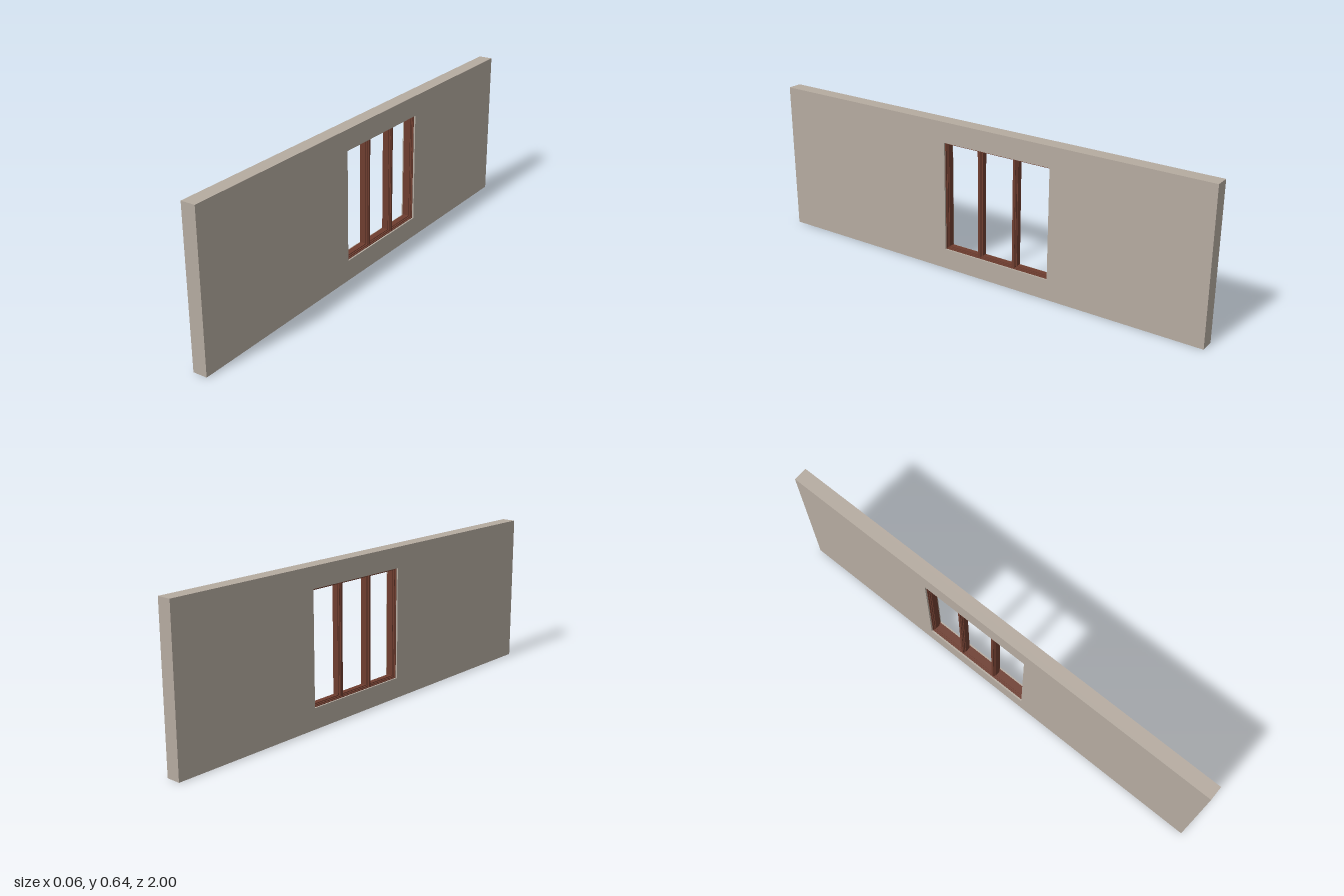
import * as THREE from 'three';

const WALL = { u0: -1, u1: 1, y0: 0, y1: 0.64 };
const OPENING = { u0: -0.158, u1: 0.334, y0: 0.087, y1: 0.553 };

const inset = (r, d) => ({ u0: r.u0 + d, u1: r.u1 - d, y0: r.y0 + d, y1: r.y1 - d });

function trace(path, r) {
  path.moveTo(r.u0, r.y0);
  path.lineTo(r.u1, r.y0);
  path.lineTo(r.u1, r.y1);
  path.lineTo(r.u0, r.y1);
  path.closePath();
  return path;
}

// Rectangular ring standing in the wall plane (u runs along -z), centred on x = 0
function ring(name, outer, inner, depth, material) {
  const shape = trace(new THREE.Shape(), outer);
  shape.holes.push(trace(new THREE.Path(), inner));
  const geometry = new THREE.ExtrudeGeometry(shape, { depth, bevelEnabled: false });
  geometry.translate(0, 0, -depth / 2);
  geometry.rotateY(Math.PI / 2);
  const mesh = new THREE.Mesh(geometry, material);
  mesh.name = name;
  return mesh;
}

export function createModel() {
  const plaster = new THREE.MeshStandardMaterial({ color: 0xb5aba0 });
  plaster.name = 'plaster';
  const wood = new THREE.MeshStandardMaterial({ color: 0x6e3d2f });
  wood.name = 'brown wood';

  const model = new THREE.Group();
  model.name = 'wallWithWindow';
  model.add(ring('wall', WALL, OPENING, 0.06, plaster));

  // Outer window frame
  const windowGroup = new THREE.Group();
  windowGroup.name = 'window';
  model.add(windowGroup);
  const inside = inset(OPENING, 0.003);
  windowGroup.add(ring('outerFrame', OPENING, inside, 0.046, wood));

  // Three open lights, each with a stepped sash, divided by two posts
  const post = 0.01;
  const cell = (inside.u1 - inside.u0 - 2 * post) / 3;
  for (let i = 0; i < 3; i++) {
    const u0 = inside.u0 + i * (cell + post);
    const light = { ...inside, u0, u1: u0 + cell };
    const step = inset(light, 0.0035);
    windowGroup.add(ring('sashOuterStep', light, step, 0.034, wood));
    windowGroup.add(ring('sashInnerStep', step, inset(step, 0.0035), 0.022, wood));

    if (i < 2) {
      const height = inside.y1 - inside.y0;
      const mullion = new THREE.Mesh(new THREE.BoxGeometry(0.042, height, post), wood);
      mullion.name = 'mullion';
      mullion.position.set(0, inside.y0 + height / 2, -(light.u1 + post / 2));
      windowGroup.add(mullion);
    }
  }
  return model;
}
